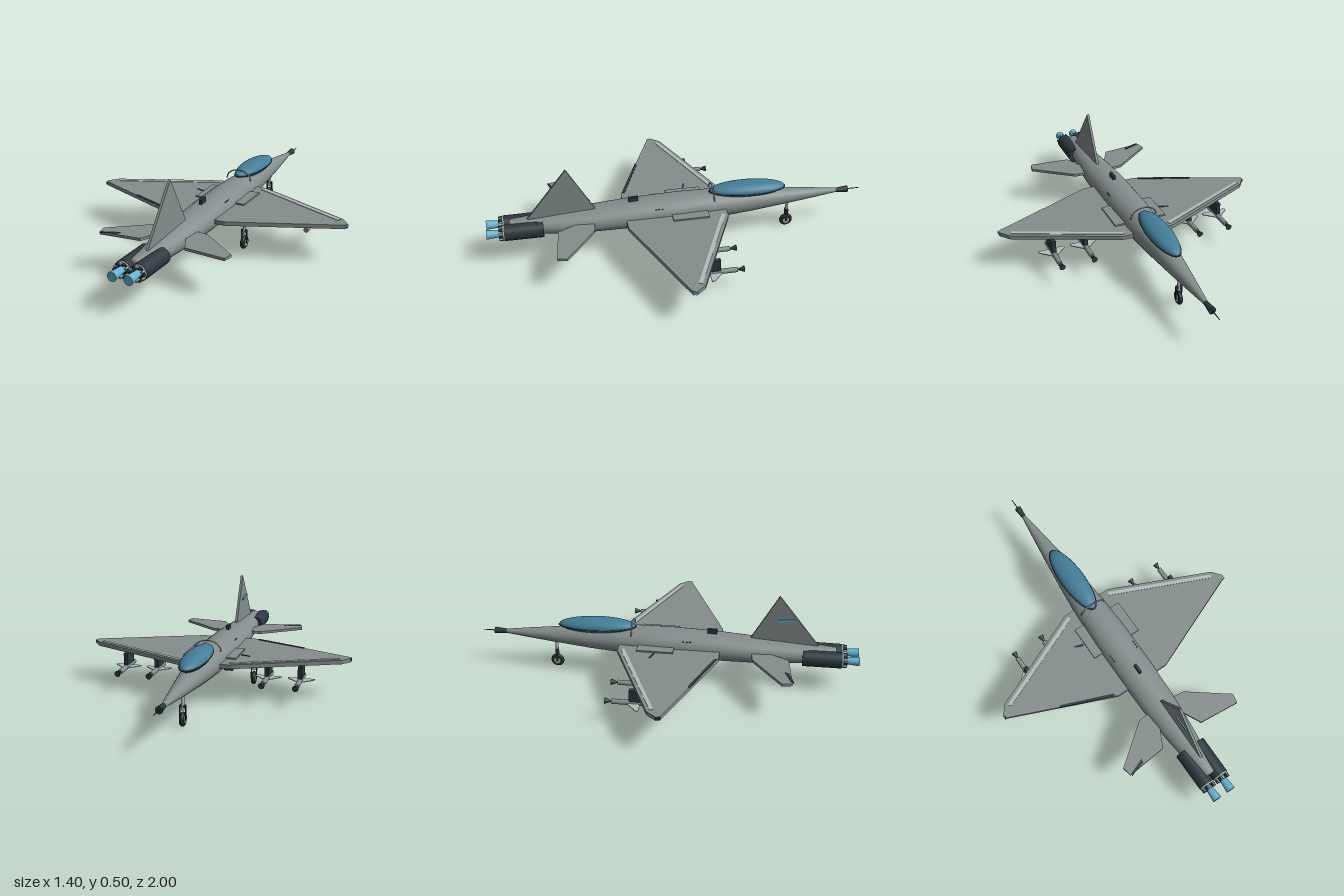
import * as THREE from 'three';

const paint = (name, color) => {
  const m = new THREE.MeshStandardMaterial({ color });
  m.name = name;
  return m;
};

export function createModel() {
  const jet = new THREE.Group();
  jet.name = 'jet';
  const grey = paint('hull grey', 0x848d8d);
  const dark = paint('dark metal', 0x2b383d);
  const light = paint('light metal', 0xb4bcbc);
  const glass = paint('canopy blue', 0x437e98);
  const glow = paint('exhaust blue', 0x66b4d2);
  const rubber = paint('tyre black', 0x20292c);

  const add = (name, geo, mat, x = 0, y = 0, z = 0, parent = jet) => {
    const m = new THREE.Mesh(geo, mat);
    m.name = name;
    m.position.set(x, y, z);
    parent.add(m);
    return m;
  };
  const box = (name, mat, w, h, d, x, y, z, parent) =>
    add(name, new THREE.BoxGeometry(w, h, d), mat, x, y, z, parent);
  // round part along z: rBack at +z, rFront at -z
  const rod = (name, mat, rBack, rFront, len, x, y, z, parent, seg = 20) =>
    add(name, new THREE.CylinderGeometry(rBack, rFront, len, seg).rotateX(Math.PI / 2), mat, x, y, z, parent);
  const outline = (pts) => new THREE.Shape(pts.map(([a, b]) => new THREE.Vector2(a, b)));
  // flat plate drawn in x/z, mirrored by s, hanging below its top height
  const plate = (name, mat, pts, s, top, t, parent) =>
    add(name, new THREE.ExtrudeGeometry(outline(pts.map(([x, z]) => [x * s, z])),
      { depth: t, bevelEnabled: false }).rotateX(Math.PI / 2), mat, 0, top, 0, parent);
  // upright plate drawn in z/y
  const upright = (name, mat, pts, x, t) =>
    add(name, new THREE.ExtrudeGeometry(outline(pts), { depth: t, bevelEnabled: false })
      .rotateY(-Math.PI / 2), mat, x + t / 2, 0, 0);

  // fuselage lofted through elliptical sections: z, half width, top, bottom
  const sections = [
    [-0.88, 0.010, 0.205, 0.185], [-0.75, 0.027, 0.221, 0.170], [-0.6, 0.046, 0.237, 0.155],
    [-0.4, 0.068, 0.258, 0.136], [-0.2, 0.086, 0.271, 0.124], [0, 0.094, 0.272, 0.120],
    [0.25, 0.094, 0.264, 0.119], [0.45, 0.088, 0.250, 0.121], [0.6, 0.075, 0.240, 0.126],
    [0.72, 0.062, 0.231, 0.134], [0.88, 0.034, 0.224, 0.152],
  ];
  const N = 32, pos = [], idx = [];
  sections.forEach(([z, w, top, bottom], r) => {
    for (let i = 0; i < N; i++) {
      const a = (i / N) * Math.PI * 2;
      pos.push(w * Math.cos(a), (top + bottom) / 2 + Math.sin(a) * (top - bottom) / 2, z);
      if (r === 0) continue;
      const j = (i + 1) % N, p = (r - 1) * N, q = r * N;
      idx.push(p + i, p + j, q + i, p + j, q + j, q + i);
    }
  });
  for (let i = 1; i < N - 1; i++) {
    const q = (sections.length - 1) * N;
    idx.push(0, i + 1, i, q, q + i, q + i + 1);
  }
  const hull = new THREE.BufferGeometry();
  hull.setAttribute('position', new THREE.Float32BufferAttribute(pos, 3));
  hull.setIndex(idx);
  hull.computeVertexNormals();
  add('fuselage', hull, grey);

  // nose tip and probe
  rod('noseTip', dark, 0.011, 0.018, 0.07, 0, 0.195, -0.9);
  rod('probe', dark, 0.003, 0.002, 0.07, 0, 0.195, -0.965, jet, 8);

  // canopy with rim and rear arch
  add('canopy', new THREE.SphereGeometry(1, 32, 20).scale(0.063, 0.038, 0.205), glass, 0, 0.271, -0.372)
    .rotation.x = -0.03;
  const rim = add('canopyRim', new THREE.TorusGeometry(1, 0.02, 6, 48).rotateX(Math.PI / 2)
    .scale(0.064, 0.12, 0.206), dark, 0, 0.267, -0.372);
  rim.rotation.x = -0.03;
  add('canopyArch', new THREE.TorusGeometry(0.07, 0.004, 6, 24, Math.PI).scale(1, 0.75, 1), light, 0, 0.255, -0.18);

  // tail fin and its marker, spine box
  upright('tailFin', grey, [[0.43, 0.235], [0.575, 0.5], [0.79, 0.225]], 0.008, 0.013);
  box('finMarker', glow, 0.006, 0.012, 0.09, -0.002, 0.366, 0.615).rotation.x = -0.1;
  box('spineBox', dark, 0.014, 0.03, 0.05, 0, 0.274, 0.238);

  const wing = [[0.05, -0.245], [0.14, -0.24], [0.66, -0.01], [0.7, 0.04], [0.69, 0.06], [0.15, 0.285], [0.05, 0.285]];
  const tail = [[0.05, 0.445], [0.14, 0.455], [0.345, 0.61], [0.335, 0.66], [0.12, 0.64], [0.05, 0.5]];

  const wheel = (parent, x, z, strutTop) => {
    const tyre = new THREE.TorusGeometry(0.024, 0.0115, 12, 28).rotateY(Math.PI / 2);
    add('tyre', tyre, rubber, x, 0.0355, z, parent);
    add('hub', new THREE.CylinderGeometry(0.018, 0.018, 0.025, 20).rotateZ(Math.PI / 2), light, x, 0.0355, z, parent);
    for (const k of [-1, 1]) box('fork', dark, 0.004, 0.07, 0.012, x + k * 0.0145, 0.066, z, parent);
    box('forkTop', dark, 0.03, 0.012, 0.014, x, 0.1, z, parent);
    add('strut', new THREE.CylinderGeometry(0.008, 0.008, strutTop - 0.08, 12), light, x, (strutTop + 0.08) / 2, z, parent);
  };
  const noseGear = new THREE.Group();
  noseGear.name = 'noseGear';
  jet.add(noseGear);
  wheel(noseGear, 0, -0.6, 0.165);

  for (const s of [1, -1]) {
    const side = new THREE.Group();
    side.name = s > 0 ? 'leftSide' : 'rightSide';
    jet.add(side);

    // wing with light leading strip and tip lamp
    plate('wing', grey, wing, s, 0.206, 0.021, side);
    plate('leadingStrip', light, [[0.13, -0.226], [0.65, 0.004], [0.64, 0.02], [0.12, -0.208]], s, 0.2085, 0.004, side);
    box('tipLamp', s > 0 ? glow : dark, 0.014, 0.014, 0.024, s * 0.694, 0.196, 0.048, side);
    plate('tailplane', grey, tail, s, 0.204, 0.014, side);

    // air intake and its cover plate
    box('intake', dark, 0.045, 0.045, 0.18, s * 0.098, 0.167, -0.05, side);
    box('intakeCover', grey, 0.08, 0.012, 0.19, s * 0.1, 0.208, -0.047, side);
    for (const z of [0.095, 0.112, 0.129]) box('vent', dark, 0.008, 0.006, 0.008, s * 0.07, 0.24, z, side);

    // engine, nozzle petals and exhaust
    const ex = s * 0.042, ey = 0.178;
    rod('engine', dark, 0.042, 0.043, 0.2, ex, ey, 0.81, side, 24);
    add('nozzleRing', new THREE.TorusGeometry(0.036, 0.005, 8, 24), light, ex, ey, 0.913, side);
    for (let i = 0; i < 12; i++) {
      const a = (i / 12) * Math.PI * 2;
      box('petal', i % 2 ? light : dark, 0.009, 0.009, 0.03, ex + 0.034 * Math.cos(a), ey + 0.034 * Math.sin(a), 0.922, side)
        .rotation.z = a;
    }
    rod('exhaust', glow, 0.024, 0.016, 0.095, ex, ey, 0.9525, side);

    // main gear
    const gear = new THREE.Group();
    gear.name = 'mainGear';
    side.add(gear);
    wheel(gear, s * 0.175, 0.115, 0.15);
    box('gearDoor', dark, 0.066, 0.009, 0.1, s * 0.172, 0.176, 0.11, gear);

    // pylons and missiles
    for (const x of [0.295, 0.465]) {
      const store = new THREE.Group();
      store.name = 'missileStation';
      store.position.set(s * x, 0.112, 0);
      side.add(store);
      box('pylon', dark, 0.022, 0.064, 0.09, 0, 0.044, -0.08, store);
      rod('missileBody', light, 0.013, 0.013, 0.21, 0, 0, -0.108, store, 16).material = grey;
      rod('missileNose', dark, 0.003, 0.016, 0.035, 0, 0, -0.23, store, 16);
      for (const k of [1, -1])
        plate('missileFin', light, [[0.008, -0.14], [0.068, -0.085], [0.068, -0.07], [0.008, -0.07]], k, 0.002, 0.004, store);
    }
  }

  // dark surface details on one side
  plate('flapLine', dark, [[0.165, 0.262], [0.43, 0.158], [0.44, 0.168], [0.165, 0.278]], -1, 0.2085, 0.004);
  plate('tailplaneLine', dark, [[0.24, 0.622], [0.325, 0.645], [0.33, 0.664], [0.245, 0.642]]
    .map(([x, z], i) => [x, [0.622, 0.655, 0.668, 0.642][i]]), -1, 0.2065, 0.004);
  plate('wingMark', dark, [[0.145, -0.055], [0.195, -0.07], [0.19, -0.06], [0.148, -0.045]], -1, 0.2085, 0.004);
  return jet;
}
